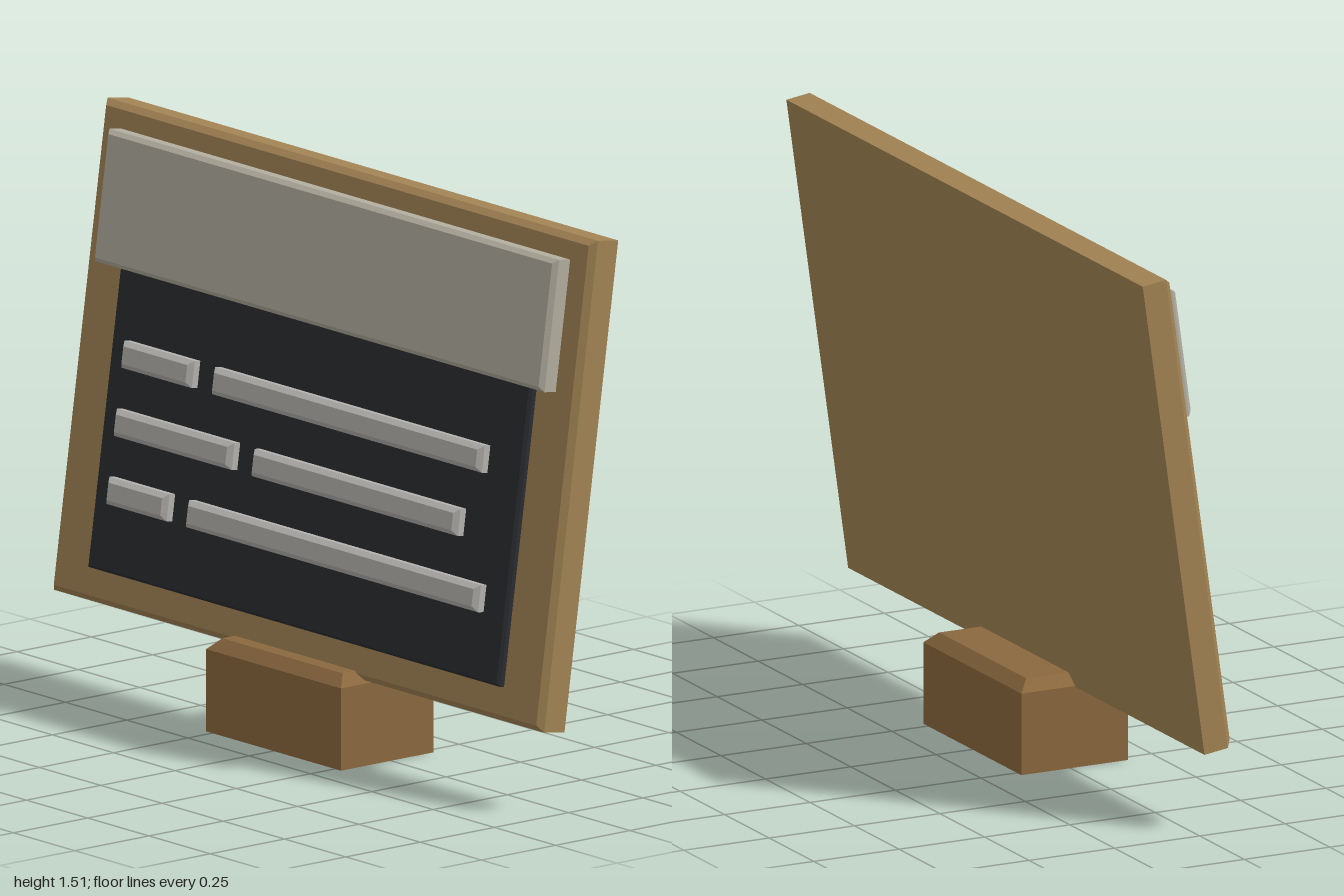
import * as THREE from 'three';

const paint = (color) => new THREE.MeshStandardMaterial({ color, flatShading: true });

// Rectangular slab from z = 0 to z = d whose front edges are chamfered by c
function slabGeometry(w, h, d, c) {
  const points = [];
  for (const [inset, z] of [[0, 0], [0, d - c], [c, d]]) {
    const x = w / 2 - inset, y = h / 2 - inset;
    points.push(-x, -y, z, x, -y, z, x, y, z, -x, y, z);
  }
  const index = [0, 2, 1, 0, 3, 2, 8, 9, 10, 8, 10, 11];
  for (let ring = 0; ring < 2; ring++) {
    for (let i = 0; i < 4; i++) {
      const a = ring * 4 + i, b = ring * 4 + (i + 1) % 4;
      index.push(a, b, b + 4, a, b + 4, a + 4);
    }
  }
  const indexed = new THREE.BufferGeometry();
  indexed.setAttribute('position', new THREE.Float32BufferAttribute(points, 3));
  indexed.setIndex(index);
  const geometry = indexed.toNonIndexed();
  geometry.computeVertexNormals();
  return geometry;
}

// Slab placed by its left, right, bottom, top, back and front limits
function slab(name, material, [x0, x1], [y0, y1], [z0, z1], chamfer) {
  const mesh = new THREE.Mesh(slabGeometry(x1 - x0, y1 - y0, z1 - z0, chamfer), material);
  mesh.name = name;
  mesh.position.set((x0 + x1) / 2, (y0 + y1) / 2, z0);
  return mesh;
}

export function createModel() {
  const model = new THREE.Group();
  model.name = 'tiltedSign';
  const wood = paint(0xa28354);
  const darkWood = paint(0x8a683e);
  const slate = paint(0x2a2c30);
  const stone = paint(0xb2ad9f);
  const silver = paint(0xb4b2ad);

  // Foot block with a chamfered top
  const foot = new THREE.Mesh(slabGeometry(0.55, 0.312, 0.25, 0.03), darkWood);
  foot.name = 'foot';
  foot.rotation.x = -Math.PI / 2;
  foot.position.z = 0.012;
  model.add(foot);

  // Everything on the board leans back about its lower rear edge
  const sign = new THREE.Group();
  sign.name = 'leaningBoard';
  sign.position.set(0, 0.217, 0.014);
  sign.rotation.x = THREE.MathUtils.degToRad(-8);
  model.add(sign);

  sign.add(slab('backBoard', wood, [-1, 1], [0, 1.3], [0, 0.085], 0.016));
  sign.add(slab('darkPanel', slate, [-0.84, 0.84], [0.091, 0.95], [0.08, 0.105], 0.008));
  sign.add(slab('headerPlate', stone, [-0.917, 0.917], [0.885, 1.235], [0.08, 0.135], 0.012));

  // Three rows of raised bars: a short one and a long one each
  const rows = [
    [0.668, [-0.765, -0.478], [-0.395, 0.705]],
    [0.488, [-0.765, -0.285], [-0.203, 0.637]],
    [0.308, [-0.765, -0.52], [-0.44, 0.75]],
  ];
  rows.forEach(([y, short, long], i) => {
    const height = [y - 0.036, y + 0.036];
    sign.add(slab(`shortBar${i + 1}`, silver, short, height, [0.1, 0.137], 0.013));
    sign.add(slab(`longBar${i + 1}`, silver, long, height, [0.1, 0.137], 0.013));
  });

  return model;
}
